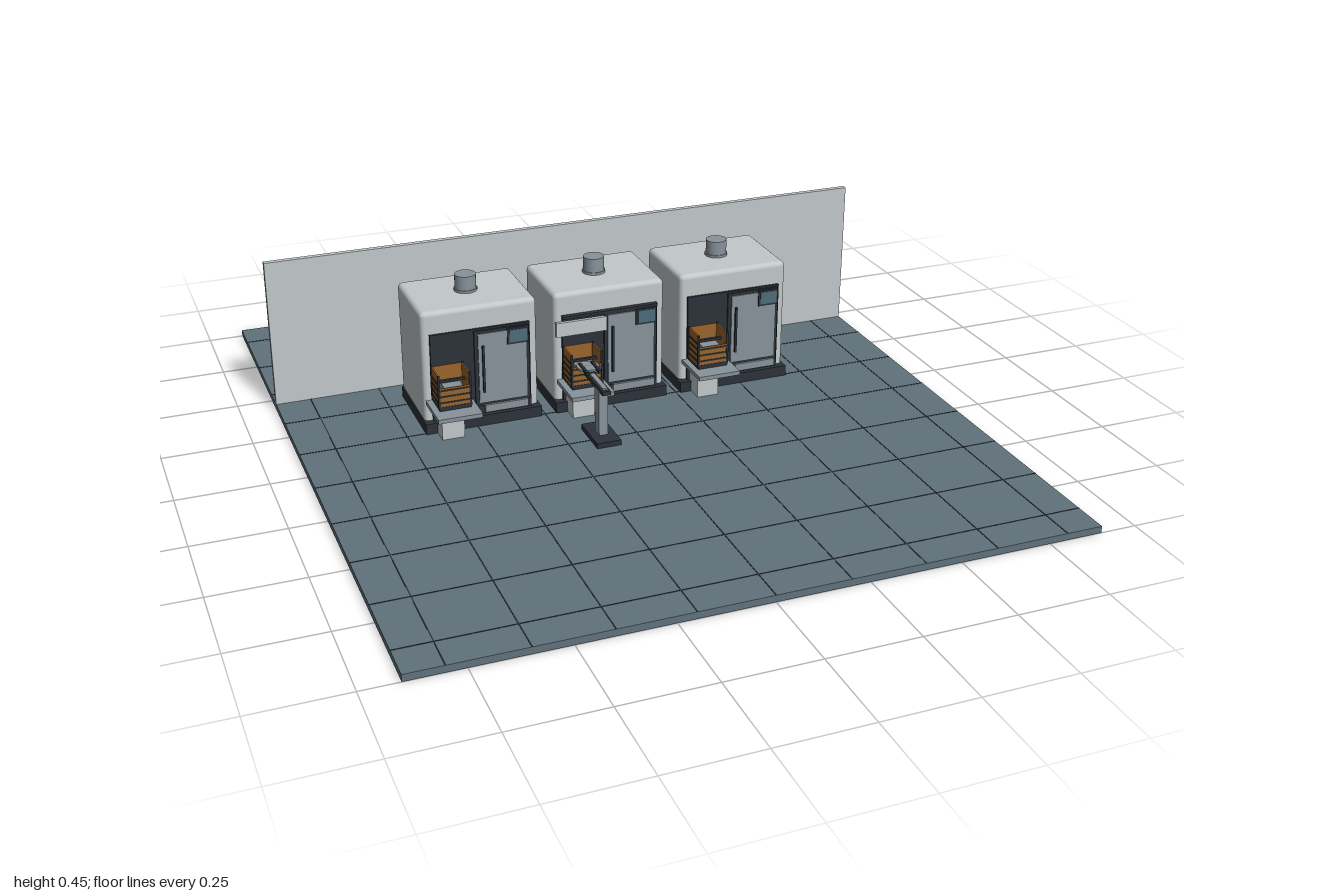
import * as THREE from 'three';
import { RoundedBoxGeometry } from 'three/addons/geometries/RoundedBoxGeometry.js';

const material = (name, color) => {
  const m = new THREE.MeshStandardMaterial({ color });
  m.name = name;
  return m;
};

export function createModel() {
  const root = new THREE.Group();
  root.name = 'machineCell';

  const slate = material('slate floor', 0x60727c);
  const charcoal = material('charcoal', 0x2b3239);
  const shell = material('pale grey shell', 0xc2c8ca);
  const steel = material('steel grey', 0x87939a);
  const screenBlue = material('screen blue', 0x4f6c7a);
  const amber = material('amber', 0x9a642c);

  const add = (parent, name, geometry, mat, x, y, z) => {
    const mesh = new THREE.Mesh(geometry, mat);
    mesh.name = name;
    mesh.position.set(x, y, z);
    parent.add(mesh);
    return mesh;
  };
  // Box given by its minimum and maximum along each axis
  const box = (parent, name, mat, [x0, x1], [y0, y1], [z0, z1], radius = 0) => {
    const size = [x1 - x0, y1 - y0, z1 - z0];
    const g = radius ? new RoundedBoxGeometry(...size, 3, radius) : new THREE.BoxGeometry(...size);
    return add(parent, name, g, mat, (x0 + x1) / 2, (y0 + y1) / 2, (z0 + z1) / 2);
  };
  const group = (parent, name, x = 0, z = 0) => {
    const g = new THREE.Group();
    g.name = name;
    g.position.set(x, 0, z);
    parent.add(g);
    return g;
  };

  // Floor with thin joints between tiles
  box(root, 'floor', slate, [-0.9, 0.9], [0, 0.019], [-1, 1]);
  const joints = group(root, 'floorJoints');
  for (let i = -4; i <= 4; i++) {
    const x = i * 0.2;
    box(joints, 'lengthJoint', charcoal, [x - 0.0015, x + 0.0015], [0.0185, 0.02], [-1, 1]);
  }
  for (let i = 0; i < 10; i++) {
    const z = -0.9 + i * 0.2;
    box(joints, 'crossJoint', charcoal, [-0.9, 0.9], [0.0185, 0.02], [z - 0.0015, z + 0.0015]);
  }

  // Rear partition
  box(root, 'backWall', shell, [-0.9, 0.9], [0.019, 0.452], [-0.448, -0.432]);

  // Enclosed machine, door to the model's left of its front
  function addMachine(x) {
    const m = group(root, 'machine', x);
    box(m, 'plinth', charcoal, [-0.168, 0.168], [0.019, 0.05], [-0.358, -0.092]);
    box(m, 'housing', shell, [-0.165, 0.165], [0.04, 0.373], [-0.363, -0.113], 0.014);
    box(m, 'frontPanel', charcoal, [-0.143, 0.142], [0.05, 0.308], [-0.12, -0.106]);
    box(m, 'doorFrame', charcoal, [-0.02, 0.138], [0.076, 0.303], [-0.11, -0.101]);
    box(m, 'door', steel, [-0.01, 0.13], [0.086, 0.295], [-0.104, -0.097]);
    box(m, 'doorHandle', charcoal, [0, 0.006], [0.12, 0.26], [-0.1, -0.09]);
    box(m, 'screenBezel', charcoal, [0.073, 0.135], [0.253, 0.301], [-0.1, -0.094]);
    box(m, 'screen', screenBlue, [0.079, 0.13], [0.259, 0.296], [-0.096, -0.092]);
    box(m, 'chipTray', steel, [0.005, 0.13], [0.057, 0.079], [-0.11, -0.094]);
    add(m, 'exhaustStub', new THREE.CylinderGeometry(0.03, 0.03, 0.055, 24), steel, 0, 0.393, -0.24);
    add(m, 'exhaustCollar', new THREE.CylinderGeometry(0.033, 0.033, 0.008, 24), steel, 0, 0.376, -0.24);
    return m;
  }

  // Part magazine on a pedestal and shelf
  function addMagazine(x) {
    const g = group(root, 'partMagazine', x);
    box(g, 'pedestal', shell, [-0.032, 0.032], [0.019, 0.112], [-0.108, -0.045]);
    box(g, 'shelf', steel, [-0.062, 0.062], [0.111, 0.123], [-0.095, 0.037]);
    box(g, 'crateFloor', charcoal, [-0.044, 0.044], [0.123, 0.135], [-0.09, -0.013]);
    for (const sx of [-1, 1]) {
      for (const z of [-0.087, -0.016]) {
        box(g, 'cratePost', charcoal, [sx * 0.044 - 0.003, sx * 0.044 + 0.003], [0.13, 0.227], [z - 0.003, z + 0.003]);
      }
      box(g, 'crateSide', amber, [sx * 0.043 - 0.002, sx * 0.043 + 0.002], [0.133, 0.225], [-0.088, -0.015]);
    }
    box(g, 'crateBack', amber, [-0.043, 0.043], [0.133, 0.225], [-0.09, -0.086]);
    box(g, 'crateFront', amber, [-0.043, 0.043], [0.133, 0.19], [-0.017, -0.014]);
    // Dark slats around the crate
    for (let i = 0; i < 4; i++) {
      const y = 0.145 + i * 0.018;
      for (const sx of [-1, 1]) {
        box(g, 'sideSlat', charcoal, [sx * 0.046 - 0.0015, sx * 0.046 + 0.0015], [y, y + 0.004], [-0.09, -0.013]);
      }
      if (i < 3) box(g, 'frontSlat', charcoal, [-0.046, 0.046], [y, y + 0.004], [-0.015, -0.012]);
    }
    box(g, 'storedPart', steel, [-0.026, 0.026], [0.134, 0.185], [-0.075, -0.026]);
    box(g, 'crateBar', charcoal, [-0.042, 0.042], [0.19, 0.197], [-0.057, -0.048]);
  }

  for (const x of [-0.38, 0, 0.38]) {
    const m = addMachine(x);
    addMagazine(x - 0.103);
    // Raised hatch on the middle machine
    if (x === 0) {
      box(m, 'hatchPlate', shell, [-0.163, -0.014], [0.25, 0.292], [-0.107, -0.096]);
      box(m, 'hatchRail', charcoal, [-0.143, 0.14], [0.3, 0.308], [-0.107, -0.098]);
    }
  }

  // Loading stand with a reaching arm and gripper disc
  const stand = group(root, 'loadingStand', -0.101);
  box(stand, 'standFoot', charcoal, [-0.035, 0.035], [0.019, 0.034], [0.025, 0.155]);
  box(stand, 'standColumn', steel, [-0.013, 0.013], [0.034, 0.168], [0.075, 0.11]);
  box(stand, 'standArm', charcoal, [-0.012, 0.012], [0.165, 0.177], [-0.02, 0.135]);
  box(stand, 'armSlide', steel, [-0.007, 0.007], [0.177, 0.182], [0.02, 0.125]);
  add(stand, 'gripperDisc', new THREE.CylinderGeometry(0.032, 0.032, 0.006, 24), steel, 0, 0.187, -0.015);
  for (const sx of [-1, 1]) {
    box(stand, 'gripperFinger', charcoal, [sx * 0.018 - 0.004, sx * 0.018 + 0.004], [0.184, 0.194], [-0.03, 0.035]);
  }
  return root;
}
